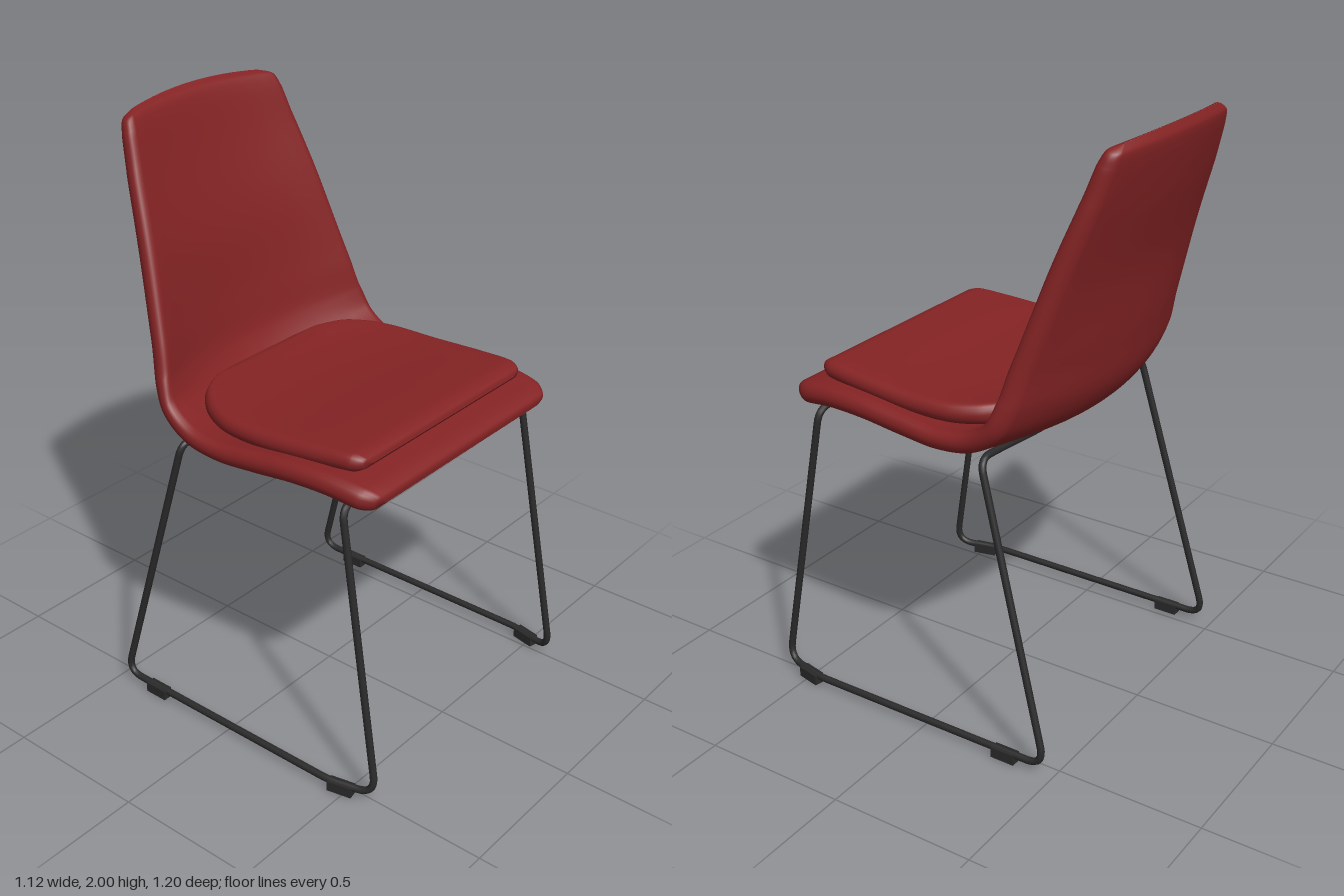
import * as THREE from 'three';

const red = new THREE.MeshStandardMaterial({ color: 0x842324 });
red.name = 'red upholstery';
const black = new THREE.MeshStandardMaterial({ color: 0x2a2a2a });
black.name = 'black metal';

// Cross-section: a flat bar with round ends; returns [x, offset along normal]
function barSection(w, t) {
  const r = t / 2, flat = w - r, ring = [], ends = 8, flats = 16;
  for (const side of [1, -1]) {
    for (let i = 0; i <= ends; i++) {
      const a = -Math.PI / 2 + (Math.PI * i) / ends;
      ring.push([side * (flat + r * Math.cos(a)), side * r * Math.sin(a)]);
    }
    for (let i = 1; i < flats; i++) ring.push([side * flat * (1 - (2 * i) / flats), side * r]);
  }
  return ring;
}

// Lofts the section along a path of stations [z, y, halfWidth, edgeCurl, thickness]
function loftPad(stations, steps, topBow = 0) {
  const path = new THREE.CatmullRomCurve3(stations.map(s => new THREE.Vector3(0, s[1], s[0])));
  const size = new THREE.CatmullRomCurve3(
    stations.map(s => new THREE.Vector3(s[2], s[3], s[4])), false, 'catmullrom', 0.5);
  const pos = [], index = [];
  let n = 0;
  for (let i = 0; i <= steps; i++) {
    const p = path.getPoint(i / steps), T = path.getTangent(i / steps);
    const { x: w, y: curl, z: t } = size.getPoint(i / steps);
    const ring = barSection(w, Math.max(t, 0.0005));
    n = ring.length;
    const bow = topBow * THREE.MathUtils.smoothstep(p.y, 1.6, 2);
    for (const [x, v] of ring) {
      const k = (x / w) ** 2, d = v + curl * k;
      pos.push(x, p.y - T.z * d - bow * k, p.z + T.y * d);
    }
  }
  for (let i = 0; i < steps; i++) {
    for (let j = 0; j < n; j++) {
      const a = i * n + j, b = i * n + (j + 1) % n;
      index.push(a, a + n, b, b, a + n, b + n);
    }
  }
  const g = new THREE.BufferGeometry();
  g.setAttribute('position', new THREE.Float32BufferAttribute(pos, 3));
  g.setIndex(index);
  g.computeVertexNormals();
  return g;
}

// Closed path through the corners, each corner rounded by its cut length
function roundedLoop(corners) {
  const path = new THREE.CurvePath(), n = corners.length;
  const pts = corners.map(c => new THREE.Vector3(c[0], c[1], c[2]));
  const toward = (i, j) => pts[j].clone().sub(pts[i]).setLength(corners[i][3]).add(pts[i]);
  for (let i = 0; i < n; i++) {
    const prev = (i + n - 1) % n, next = (i + 1) % n;
    path.add(new THREE.QuadraticBezierCurve3(toward(i, prev), pts[i], toward(i, next)));
    path.add(new THREE.LineCurve3(toward(i, next), toward(next, i)));
  }
  path.arcLengthDivisions = 1200;
  return path;
}

export function createModel() {
  const chair = new THREE.Group();
  chair.name = 'chair';
  const add = (name, geometry, material) => {
    const m = new THREE.Mesh(geometry, material);
    m.name = name;
    chair.add(m);
    return m;
  };

  // One-piece shell running from the front lip up the back
  add('shell', loftPad([
    [0.55, 1.035, 0.40, 0, 0],
    [0.54, 1.04, 0.45, 0, 0.05],
    [0.50, 1.05, 0.485, 0, 0.075],
    [0.40, 1.065, 0.50, 0, 0.075],
    [0.25, 1.055, 0.51, 0.01, 0.075],
    [0.10, 1.03, 0.515, 0.02, 0.075],
    [-0.05, 1.01, 0.52, 0.03, 0.07],
    [-0.18, 1.02, 0.52, 0.045, 0.07],
    [-0.30, 1.07, 0.515, 0.08, 0.07],
    [-0.37, 1.16, 0.50, 0.10, 0.07],
    [-0.405, 1.30, 0.475, 0.095, 0.07],
    [-0.45, 1.55, 0.43, 0.06, 0.07],
    [-0.525, 1.80, 0.385, 0.05, 0.065],
    [-0.56, 1.93, 0.36, 0.045, 0.06],
    [-0.573, 1.977, 0.34, 0.04, 0.045],
    [-0.58, 2.0, 0.29, 0.03, 0],
  ], 120, 0.025), red);

  // Loose seat cushion, square in front and round behind
  add('seatCushion', loftPad([
    [0.475, 1.128, 0.37, 0, 0],
    [0.465, 1.13, 0.41, 0, 0.035],
    [0.43, 1.13, 0.435, 0, 0.06],
    [0.30, 1.12, 0.45, 0, 0.065],
    [0.10, 1.10, 0.46, 0.005, 0.07],
    [-0.05, 1.095, 0.455, 0.01, 0.07],
    [-0.15, 1.097, 0.42, 0.015, 0.07],
    [-0.22, 1.107, 0.36, 0.015, 0.06],
    [-0.27, 1.115, 0.26, 0.01, 0.045],
    [-0.29, 1.12, 0.17, 0, 0.025],
    [-0.30, 1.122, 0.05, 0, 0],
  ], 80), red);

  // Sled frame: one bent rod forming both sides and two under-seat bars
  const side = [
    [0.475, 1.01, 0.44, 0.05],
    [0.505, 0.03, 0.605, 0.07],
    [0.542, 0.03, 0.44, 0.03],
    [0.542, 0.03, -0.47, 0.07],
    [0.492, 1.01, -0.20, 0.05],
    [0.40, 1.005, -0.20, 0.04],
    [0.12, 0.972, -0.19, 0.1],
  ];
  const mirrored = side.map(([x, y, z, r]) => [-x, y, z, r]).reverse();
  add('sledFrame', new THREE.TubeGeometry(
    roundedLoop([...side, ...mirrored]), 560, 0.012, 10, true), black);

  // Glides under the runners
  for (const s of [1, -1]) {
    const label = s > 0 ? 'left' : 'right';
    const front = add(label + 'FrontGlide', new THREE.BoxGeometry(0.034, 0.036, 0.085), black);
    front.position.set(s * 0.533, 0.018, 0.487);
    front.rotation.y = -s * 0.21;
    const rear = add(label + 'RearGlide', new THREE.BoxGeometry(0.034, 0.036, 0.085), black);
    rear.position.set(s * 0.542, 0.018, -0.32);
  }
  return chair;
}
